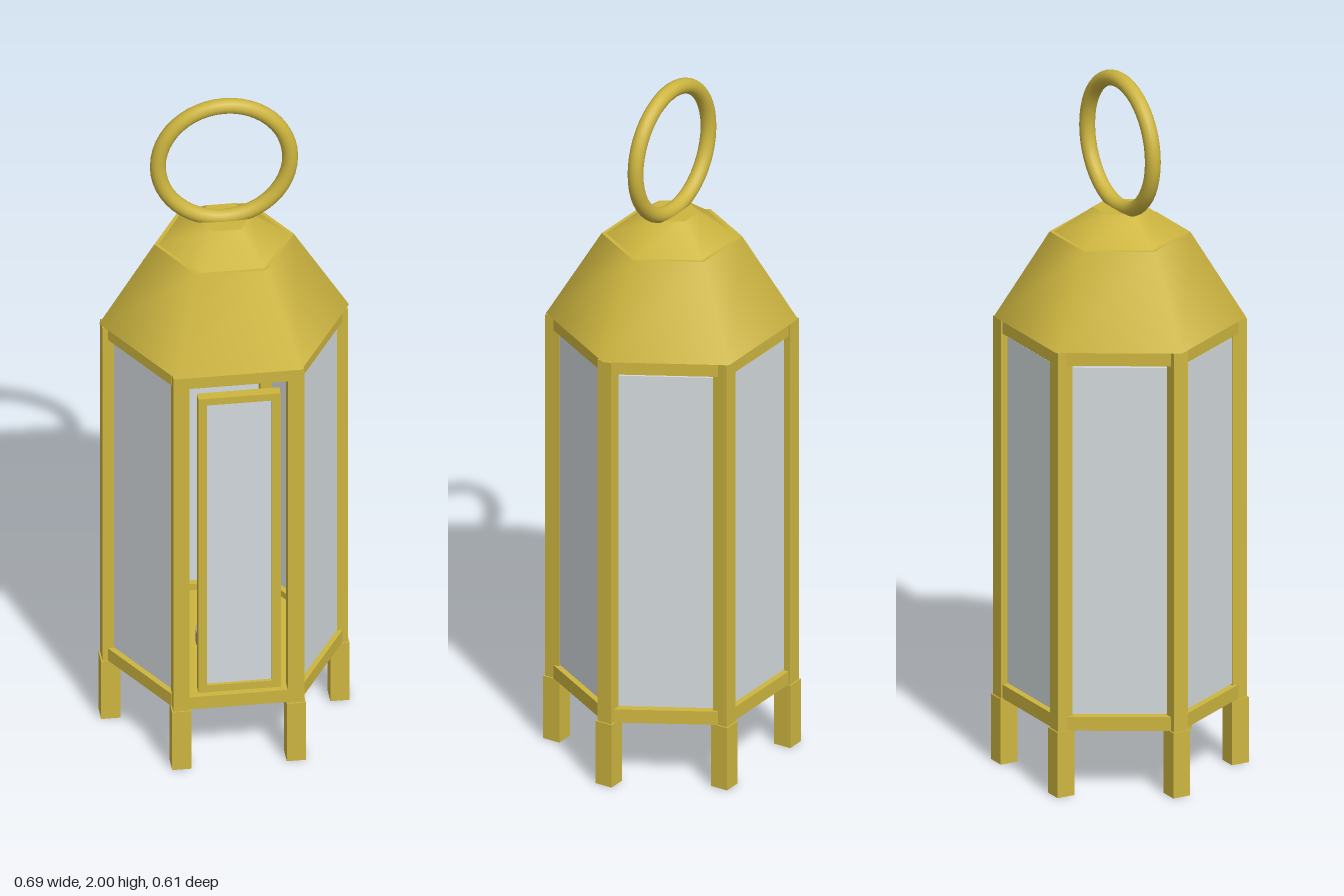
import * as THREE from 'three';

export function createModel() {
  const lantern = new THREE.Group();
  lantern.name = 'lantern';

  const mat = (name, color, side = THREE.FrontSide) => {
    const m = new THREE.MeshStandardMaterial({ color, side });
    m.name = name;
    return m;
  };
  const brass = mat('brass', 0xcdb53f);
  const glass = mat('pale glass', 0xd3dadd);
  const wax = mat('candle wax', 0xf4f2ec);
  const steel = mat('grey holder', 0x9a9c9f, THREE.DoubleSide);

  const add = (parent, name, geometry, material, x = 0, y = 0, z = 0) => {
    const mesh = new THREE.Mesh(geometry, material);
    mesh.name = name;
    mesh.position.set(x, y, z);
    parent.add(mesh);
    return mesh;
  };
  const box = (parent, name, w, h, d, material, x, y, z) =>
    add(parent, name, new THREE.BoxGeometry(w, h, d), material, x, y, z);

  // The hexagon sits a little behind the centre, because the door stands proud
  const body = new THREE.Group();
  body.name = 'body';
  body.position.z = -0.006;
  lantern.add(body);

  const R = 0.317;
  const apothem = R * Math.cos(Math.PI / 6);

  // Floor plate with a round hole under the candle holder
  const floorShape = new THREE.Shape();
  for (let i = 0; i < 6; i++) {
    const a = i * Math.PI / 3;
    floorShape[i ? 'lineTo' : 'moveTo'](R * Math.cos(a), R * Math.sin(a));
  }
  floorShape.closePath();
  const hole = new THREE.Path();
  hole.absarc(0, 0, 0.074, 0, Math.PI * 2, true);
  floorShape.holes.push(hole);
  const floorGeo = new THREE.ExtrudeGeometry(floorShape, { depth: 0.02, bevelEnabled: false, curveSegments: 24 });
  floorGeo.rotateX(-Math.PI / 2);
  add(body, 'floor', floorGeo, brass, 0, 0.19, 0);

  for (let i = 0; i < 6; i++) {
    // Corner posts and feet stay square to the axes
    const a = i * Math.PI / 3;
    const x = R * Math.cos(a), z = R * Math.sin(a);
    box(body, 'post', 0.045, 1.105, 0.045, brass, x, 0.7375, z);
    box(body, 'foot', 0.053, 0.19, 0.053, brass, x, 0.095, z);

    // One side of the hexagon: two rails and, except at the door, a pane
    const side = new THREE.Group();
    side.name = i === 0 ? 'frontSide' : 'side';
    side.rotation.y = a;
    body.add(side);
    for (const y of [0.21, 1.27]) box(side, 'rail', 0.285, 0.04, 0.036, brass, 0, y, apothem);
    if (i > 0) box(side, 'pane', 0.262, 1.006, 0.012, glass, 0, 0.738, apothem);
  }

  // Door: narrow framed pane in front of the open side
  const door = new THREE.Group();
  door.name = 'door';
  door.position.set(0, 0.741, 0.297);
  body.add(door);
  for (const s of [-1, 1]) {
    box(door, 'doorStile', 0.024, 0.97, 0.03, brass, s * 0.102, 0, 0);
    box(door, 'doorRail', 0.18, 0.022, 0.03, brass, 0, s * 0.474, 0);
  }
  box(door, 'doorPane', 0.18, 0.926, 0.01, glass, 0, 0, 0);

  // Candle in an open-bottomed holder
  add(body, 'candleHolder', new THREE.CylinderGeometry(0.078, 0.078, 0.06, 32, 1, true), steel, 0, 0.22, 0);
  add(body, 'candle', new THREE.CylinderGeometry(0.06, 0.06, 0.39, 32), wax, 0, 0.44, 0);
  const holderTop = add(body, 'holderTop', new THREE.CircleGeometry(0.078, 32), steel, 0, 0.25, 0);
  holderTop.rotation.x = -Math.PI / 2;

  // Six-sided roof and cap, with corners on the x axis
  const hexCone = (name, top, bottom, y0, y1) => {
    const geo = new THREE.CylinderGeometry(top, bottom, y1 - y0, 6);
    geo.rotateY(Math.PI / 6);
    add(body, name, geo, brass, 0, (y0 + y1) / 2, 0);
  };
  hexCone('roof', 0.193, 0.346, 1.29, 1.538);
  hexCone('roofCap', 0.075, 0.181, 1.538, 1.61);

  // Carrying ring
  add(body, 'ring', new THREE.TorusGeometry(0.183, 0.022, 16, 48), brass, 0, 1.795, 0);

  return lantern;
}
